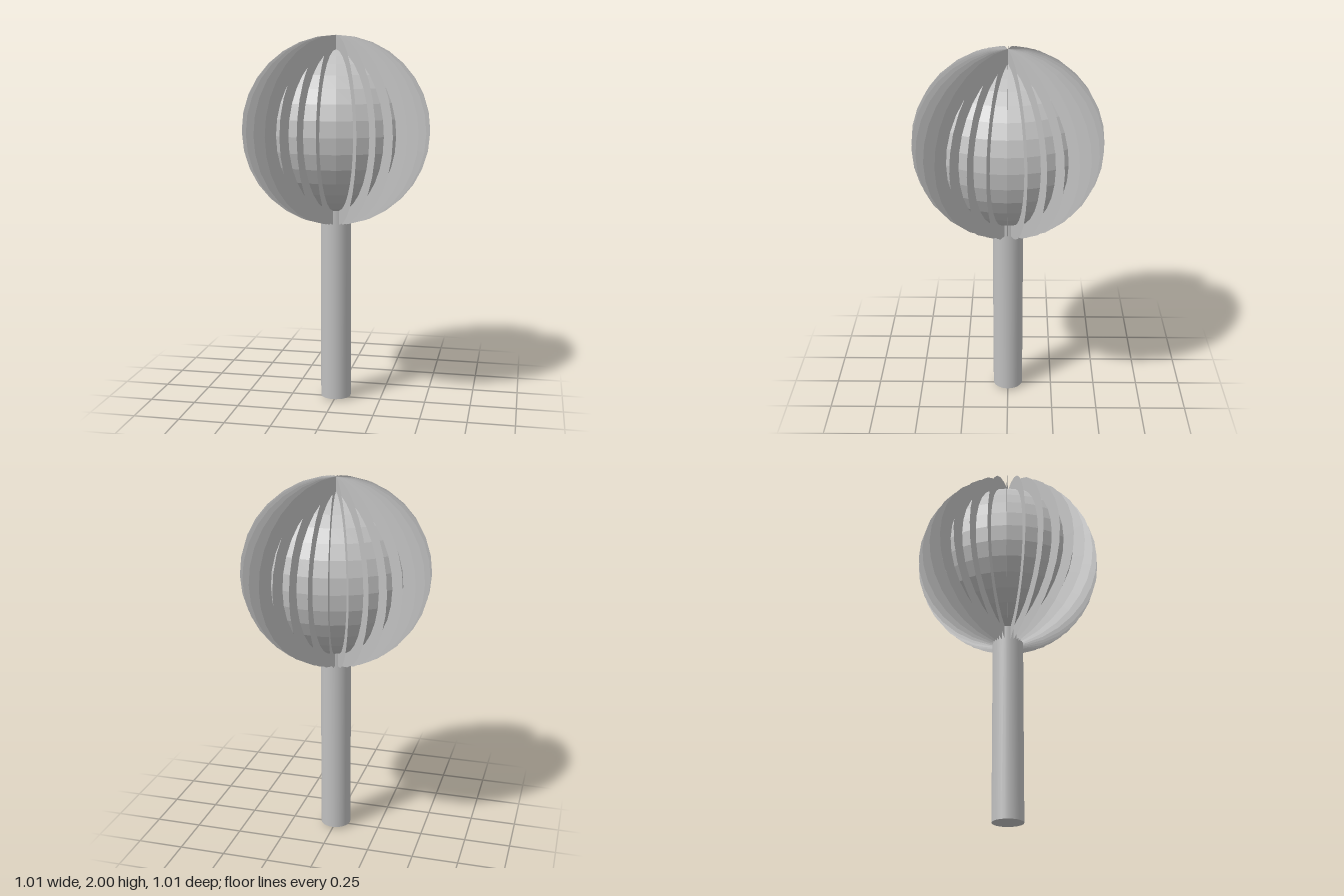
import * as THREE from 'three';

export function createModel() {
  const group = new THREE.Group();
  const centerY = 1.495, finRadius = 0.505, finCount = 16;

  const grey = new THREE.MeshStandardMaterial({ color: 0xc0c0c0, side: THREE.DoubleSide });
  grey.name = 'light grey';

  const add = (name, geometry, y = 0) => {
    const mesh = new THREE.Mesh(geometry, grey);
    mesh.name = name;
    mesh.position.y = y;
    group.add(mesh);
    return mesh;
  };

  // Faceted inner ball: unshared corners give one flat normal per face
  const ball = new THREE.SphereGeometry(0.43, 32, 16).toNonIndexed();
  ball.computeVertexNormals();
  add('innerBall', ball, centerY);

  // Thin upright discs, all crossing on the vertical axis
  const disc = new THREE.CircleGeometry(finRadius, 32);
  for (let i = 0; i < finCount; i++) {
    add('fin' + (i + 1), disc, centerY).rotation.y = (i * Math.PI) / finCount;
  }

  // Round stem running up into the ball, with a very shallow conical foot
  const bottom = 0.012, top = 1.09, stemRadius = 0.083;
  add('stem', new THREE.CylinderGeometry(stemRadius, stemRadius, top - bottom, 32, 1, true), (top + bottom) / 2);
  add('stemFoot', new THREE.CylinderGeometry(stemRadius, 0, bottom, 32, 1, true), bottom / 2);

  return group;
}
